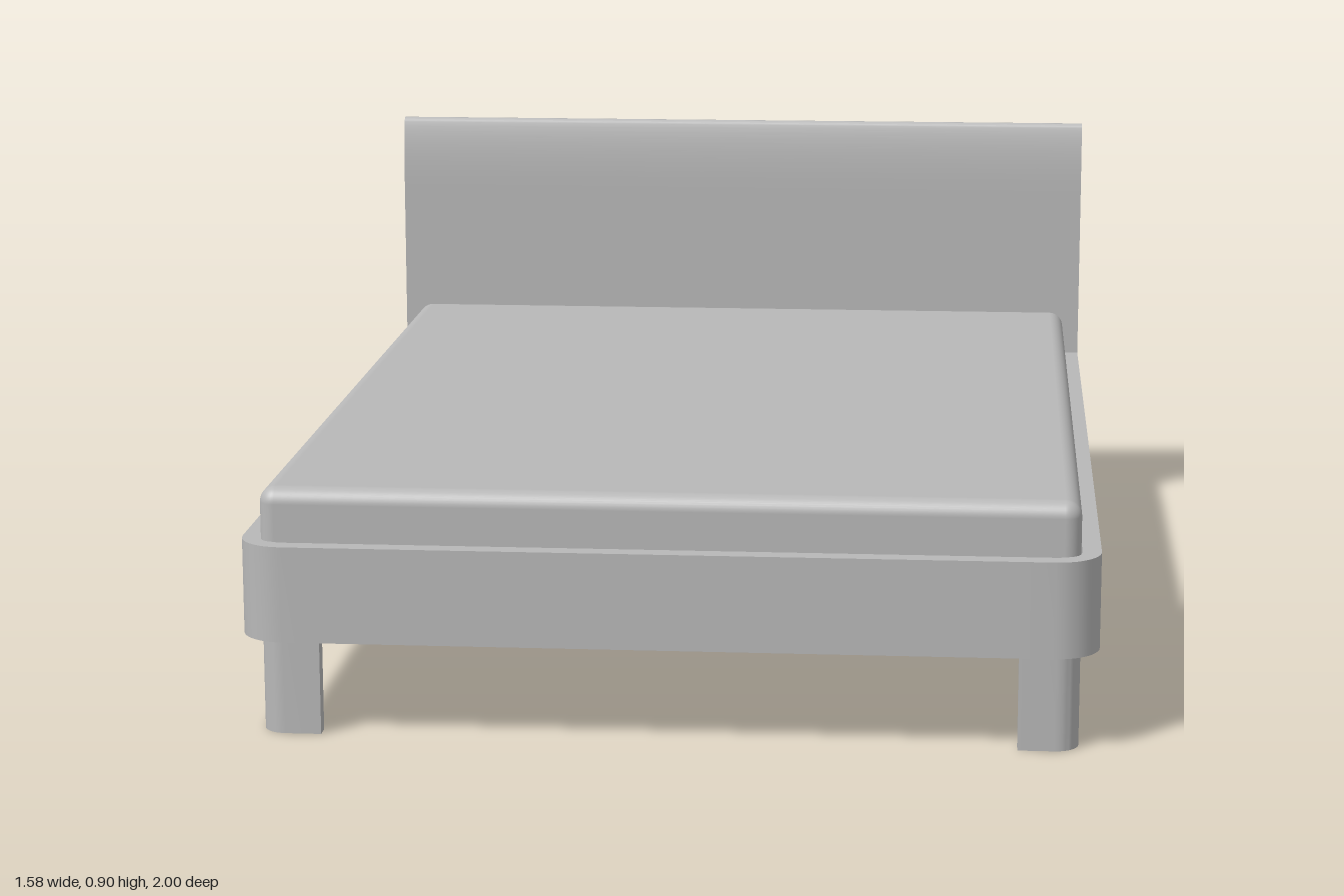
import * as THREE from 'three';
import { toCreasedNormals } from 'three/addons/utils/BufferGeometryUtils.js';
import { RoundedBoxGeometry } from 'three/addons/geometries/RoundedBoxGeometry.js';

export function createModel() {
  const bed = new THREE.Group();
  bed.name = 'bed';
  const grey = new THREE.MeshStandardMaterial({ color: 0xb8b8b8 });
  grey.name = 'plain grey';

  function add(name, geometry) {
    const mesh = new THREE.Mesh(geometry, grey);
    mesh.name = name;
    bed.add(mesh);
    return mesh;
  }

  // Box given by its lower and upper limits on each axis
  function box(name, [x0, x1], [y0, y1], [z0, z1]) {
    const g = new THREE.BoxGeometry(x1 - x0, y1 - y0, z1 - z0);
    g.translate((x0 + x1) / 2, (y0 + y1) / 2, (z0 + z1) / 2);
    return add(name, g);
  }

  // Upright L-shaped piece with a rounded corner at (sx * x, sz * z)
  function angle(name, sx, sz, { x, z, armX, armZ, r, t, y0, y1 }) {
    const shape = new THREE.Shape();
    const p = (a, b) => [sx * (x - a), sz * (z - b)];
    const k = 0.45;
    const ri = Math.max(r - t, 0.01);
    shape.moveTo(...p(0, armZ));
    shape.lineTo(...p(0, r));
    shape.bezierCurveTo(...p(0, r * k), ...p(r * k, 0), ...p(r, 0));
    shape.lineTo(...p(armX, 0));
    shape.lineTo(...p(armX, t));
    shape.lineTo(...p(t + ri, t));
    shape.bezierCurveTo(...p(t + ri * k, t), ...p(t, t + ri * k), ...p(t, t + ri));
    shape.lineTo(...p(t, armZ));
    shape.closePath();
    const g = new THREE.ExtrudeGeometry(shape, { depth: y1 - y0, bevelEnabled: false, curveSegments: 10 });
    g.rotateX(Math.PI / 2);
    g.translate(0, y1, 0);
    return add(name, toCreasedNormals(g, 0.7));
  }

  const bottom = 0.185, top = 0.365;

  // Mattress with soft edges
  const mattress = new RoundedBoxGeometry(1.505, 0.235, 1.92, 5, 0.03);
  mattress.translate(0, 0.3475, 0);
  add('mattress', mattress);

  // Rails, front corners, legs and rail clips, mirrored left and right
  box('frontRail', [-0.655, 0.655], [bottom, top], [0.965, 1]);
  for (const s of [1, -1]) {
    const side = s > 0 ? 'left' : 'right';
    const span = (a, b) => (s > 0 ? [a, b] : [-b, -a]);
    box(side + 'SideRail', span(0.755, 0.79), [bottom, top], [-0.965, 0.86]);
    angle(side + 'FrontCorner', s, 1,
      { x: 0.79, z: 1, armX: 0.135, armZ: 0.14, r: 0.085, t: 0.035, y0: bottom, y1: top });
    for (const f of [1, -1]) {
      angle(side + (f > 0 ? 'Front' : 'Back') + 'Leg', s, f,
        { x: 0.755, z: 0.962, armX: 0.112, armZ: 0.11, r: 0.045, t: 0.03, y0: 0, y1: 0.26 });
    }
    for (const z of [-0.65, 0.05, 0.75]) {
      box(side + 'RailClip', span(0.7, 0.756), [0.22, 0.232], [z - 0.03, z + 0.03]);
    }
  }

  // Beam under the middle of the mattress
  box('centreBeam', [-0.03, 0.03], [0.195, 0.235], [-0.965, 0.965]);

  // Headboard: flat panel with a cap that thins towards the top
  box('headboardPanel', [-0.79, 0.79], [bottom, 0.745], [-1, -0.965]);
  const cap = new THREE.Shape();
  cap.moveTo(1, 0.745);
  cap.lineTo(1, 0.895);
  cap.quadraticCurveTo(0.998, 0.9, 0.99, 0.9);
  cap.quadraticCurveTo(0.982, 0.9, 0.979, 0.89);
  cap.quadraticCurveTo(0.965, 0.84, 0.965, 0.745);
  const capGeometry = new THREE.ExtrudeGeometry(cap, { depth: 1.58, bevelEnabled: false, curveSegments: 10 });
  capGeometry.rotateY(Math.PI / 2);
  capGeometry.translate(-0.79, 0, 0);
  add('headboardCap', toCreasedNormals(capGeometry, 0.7));

  return bed;
}
